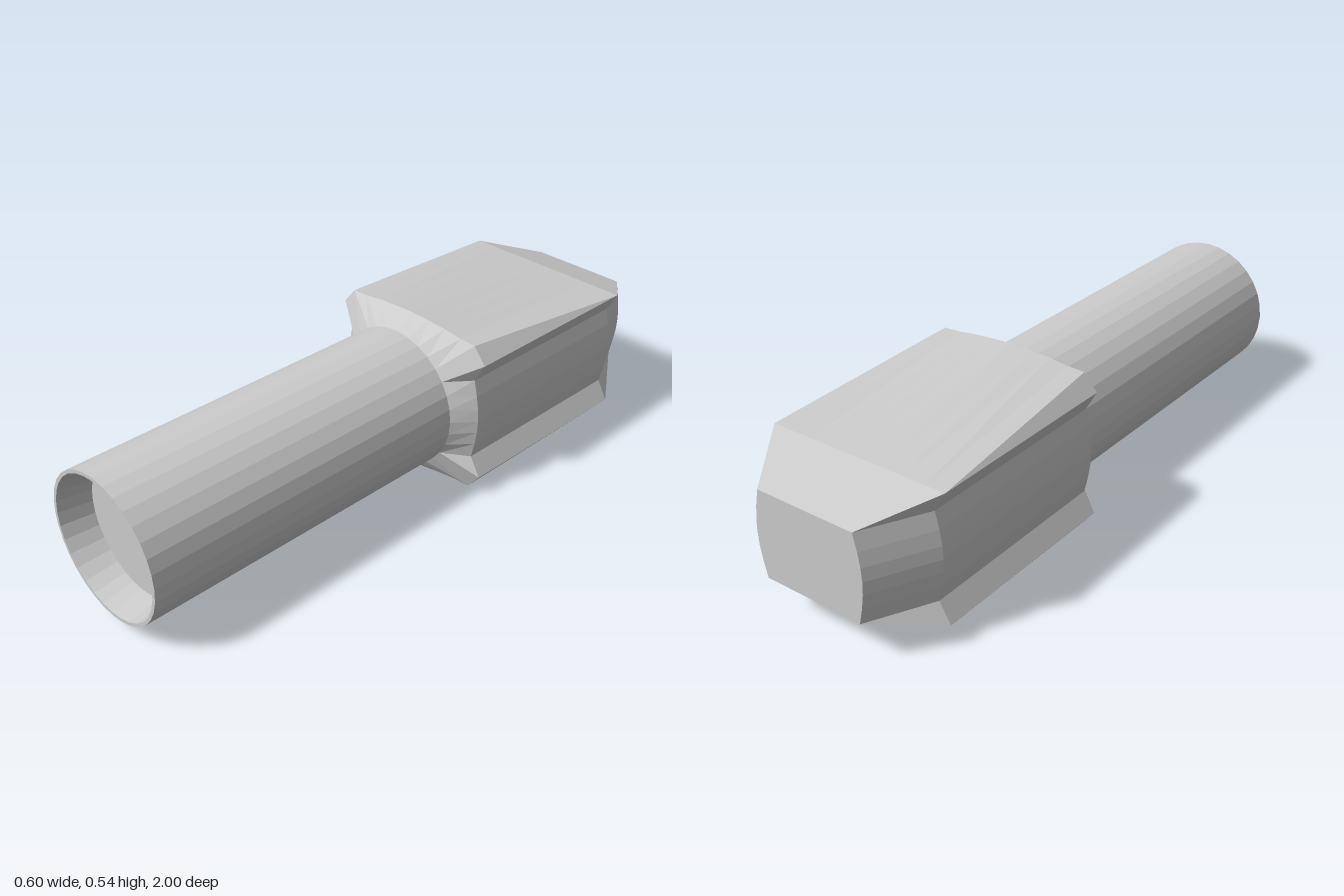
import * as THREE from 'three';

const CENTRE_Y = 0.272;
const material = new THREE.MeshStandardMaterial({ color: 0xcccccc, flatShading: true });

// Mirrors a quarter outline (top centre -> right centre) into a full ring.
function fullRing(q) {
  const back = q.slice(0, -1).reverse();
  return [
    ...q,
    ...back.map(([x, y]) => [x, -y]),
    ...q.slice(1).map(([x, y]) => [-x, -y]),
    ...back.slice(0, -1).map(([x, y]) => [-x, y]),
  ];
}

// Skins a list of { z, ring } sections and closes the last one.
function loft(sections) {
  const n = sections[0].ring.length;
  const positions = [];
  const index = [];
  for (const { z, ring } of sections) for (const [x, y] of ring) positions.push(x, y, z);
  for (let s = 0; s < sections.length - 1; s++) {
    for (let i = 0; i < n; i++) {
      const j = (i + 1) % n;
      const a = s * n + i, b = s * n + j, c = a + n, d = b + n;
      index.push(a, b, c, b, d, c);
    }
  }
  const last = (sections.length - 1) * n;
  positions.push(0, 0, sections[sections.length - 1].z);
  for (let i = 0; i < n; i++) index.push(last + n, last + i, last + (i + 1) % n);
  const geometry = new THREE.BufferGeometry();
  geometry.setAttribute('position', new THREE.Float32BufferAttribute(positions, 3));
  geometry.setIndex(index);
  geometry.computeVertexNormals();
  return geometry;
}

function createHead() {
  // Quarter outline at the widest section: top face, flared corner, notch, bulged side
  const top = [[0, 0.269], [0.07, 0.266], [0.135, 0.262], [0.2, 0.254], [0.255, 0.252]];
  const corner = [0.298, 0.2];
  const side = [[0.262, 0.137], [0.274, 0.085], [0.281, 0.04], [0.283, 0]];

  // Round collar where the head meets the tube
  const onCircle = (deg) => {
    const a = THREE.MathUtils.degToRad(deg);
    return [0.228 * Math.cos(a), 0.228 * Math.sin(a)];
  };
  const collar = [90, 78, 67, 56, 45, 34, 34, 22.5, 11, 0].map(onCircle);
  const widest = [...top, corner, ...side];
  // The top face flattens and spreads out to the corner
  const shoulder = [...top.map(([x]) => [x * 0.298 / 0.255, 0.2]), corner, ...side];
  // Small blunt end
  const end = [
    ...top.map(([x]) => [x * 0.165 / 0.255, 0.137]),
    [0.165, 0.137],
    ...side.map(([x, y]) => [x - 0.097, y]),
  ];

  return loft([
    { z: -0.09, ring: fullRing(collar) },
    { z: -0.155, ring: fullRing(widest) },
    { z: -0.81, ring: fullRing(shoulder) },
    { z: -1, ring: fullRing(end) },
  ]);
}

function createTube() {
  // Outer wall, rim, tapered recess and its floor
  const profile = [[0.228, -0.09], [0.228, 1], [0.217, 1], [0.197, 0.9], [0, 0.9]];
  const geometry = new THREE.LatheGeometry(profile.map(([r, h]) => new THREE.Vector2(r, h)), 32);
  return geometry.rotateX(Math.PI / 2);
}

export function createModel() {
  const group = new THREE.Group();
  const parts = { tube: createTube(), head: createHead() };
  for (const [name, geometry] of Object.entries(parts)) {
    const mesh = new THREE.Mesh(geometry, material);
    mesh.name = name;
    mesh.position.y = CENTRE_Y;
    group.add(mesh);
  }
  return group;
}
